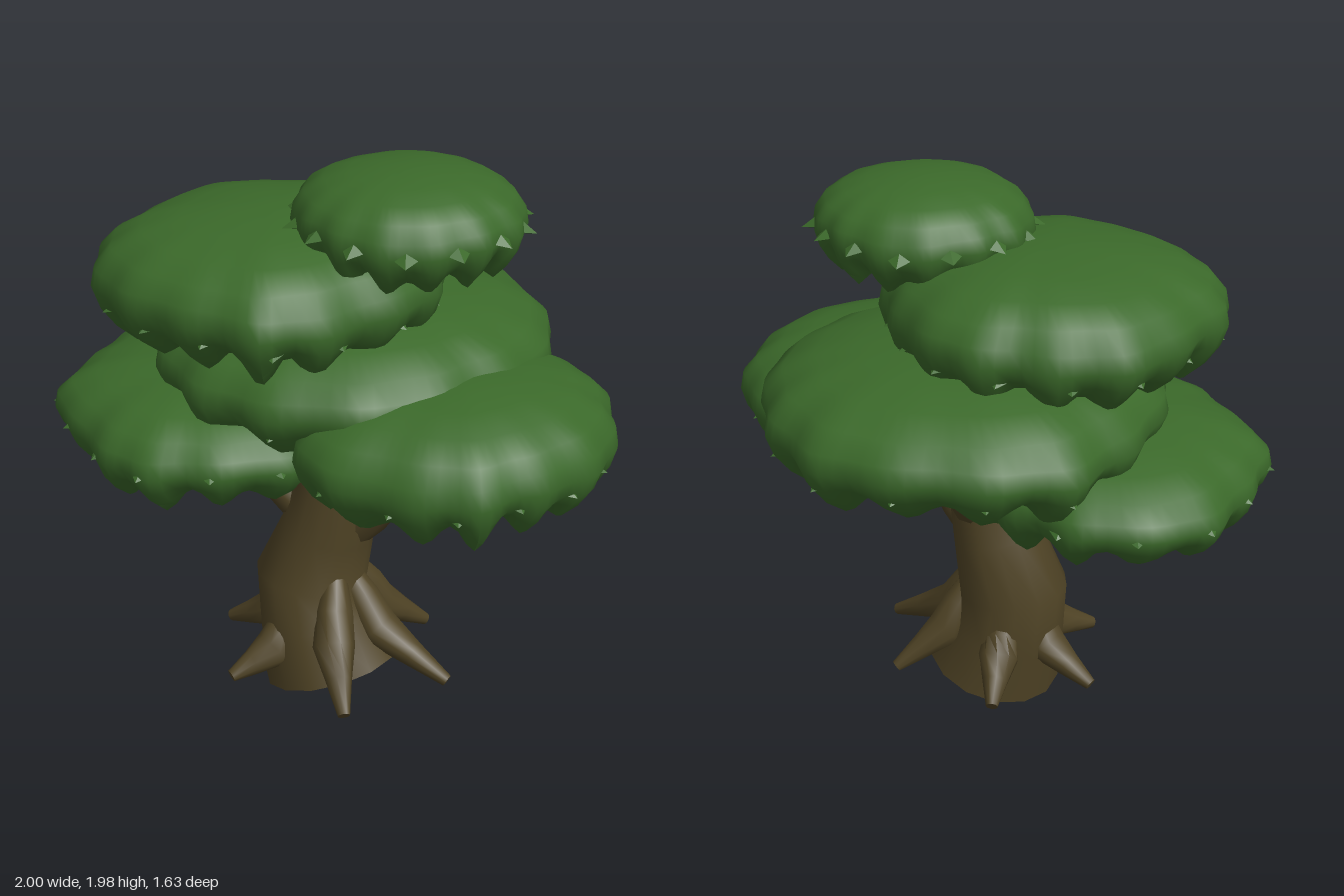
import * as THREE from 'three';
import { toCreasedNormals } from 'three/addons/utils/BufferGeometryUtils.js';

// Builds a surface from closed loops of points; loops run from top to bottom.
function loft(rows) {
  const n = rows[0].length, pos = [], idx = [];
  rows.forEach((row) => row.forEach((p) => pos.push(p.x, p.y, p.z)));
  for (let j = 0; j < rows.length - 1; j++) {
    for (let i = 0; i < n; i++) {
      const a = j * n + i, b = j * n + (i + 1) % n;
      idx.push(a, b, a + n, b, b + n, a + n);
    }
  }
  const g = new THREE.BufferGeometry();
  g.setAttribute('position', new THREE.Float32BufferAttribute(pos, 3));
  g.setIndex(idx);
  return toCreasedNormals(g, 0.9);
}

// Tapered limb through stations [x, y, z, radius], closed at both ends.
function limb(stations, sides) {
  const pts = stations.map((s) => new THREE.Vector3(s[0], s[1], s[2]));
  const up = new THREE.Vector3(0, 1, 0);
  const rows = pts.map((p, k) => {
    const dir = pts[Math.min(k + 1, pts.length - 1)].clone().sub(pts[Math.max(k - 1, 0)]).normalize();
    const q = new THREE.Quaternion().setFromUnitVectors(up, dir);
    return Array.from({ length: sides }, (_, i) => {
      const a = (i / sides) * Math.PI * 2, r = stations[k][3];
      return new THREE.Vector3(r * Math.cos(a), 0, r * Math.sin(a)).applyQuaternion(q).add(p);
    });
  });
  const cap = (p) => Array.from({ length: sides }, () => p.clone());
  return loft([cap(pts[0]), ...rows, cap(pts[pts.length - 1])].reverse());
}

// Half profile of a foliage pad: [radius, height, ruffle strength, hem droop]
const PAD = [
  [0, 1, 0, 0], [0.25, 0.985, 0.1, 0], [0.5, 0.94, 0.2, 0], [0.72, 0.86, 0.4, 0],
  [0.88, 0.74, 0.7, 0], [0.97, 0.6, 0.9, 0], [0.99, 0.46, 1, 0.01], [0.95, 0.32, 1.2, 0.03],
  [0.87, 0.2, 1.4, 0.07], [0.76, 0.09, 1.5, 0.1], [0.6, 0.14, 1, 0.06], [0.32, 0.19, 0.4, 0.02],
  [0, 0.22, 0, 0],
];

// Smooth closed plan outline from radii at equal angles, starting at +x toward +z
function planCurve(radii) {
  return new THREE.CatmullRomCurve3(radii.map((r, i) => {
    const a = (i / radii.length) * Math.PI * 2;
    return new THREE.Vector3(r * Math.cos(a), 0, r * Math.sin(a));
  }), true);
}

function padPoint(pad, curve, row, t) {
  const [r, h, w, droop] = PAD[row];
  const { height, lobes, seed } = pad;
  const a = t * Math.PI * 2;
  // Lobes of uneven size
  const wave = Math.cos(lobes * a + seed) * (0.8 + 0.3 * Math.sin(4 * a + 2 * seed));
  const lift = h - droop * wave + (w < 0.9 ? 0 : 0.02 * Math.sin(4 * a + seed));
  const p = curve.getPoint(t % 1).multiplyScalar(r * (1 + 0.02 * w * wave));
  return p.setY(height * lift);
}

export function createModel() {
  const bark = new THREE.MeshStandardMaterial({ color: 0x4f4325 });
  bark.name = 'bark';
  const foliage = new THREE.MeshStandardMaterial({ color: 0x3b692a });
  foliage.name = 'foliage';

  const model = new THREE.Group();
  model.name = 'tree';
  const add = (parent, name, geo, mat) => {
    const m = new THREE.Mesh(geo, mat);
    m.name = name;
    parent.add(m);
    return m;
  };

  // Leaning trunk with a slanted foot
  add(model, 'trunk', limb([
    [0.015, 0.08, 0.17, 0.255], [-0.045, 0.26, 0.165, 0.218], [-0.08, 0.43, 0.155, 0.2],
    [-0.015, 0.63, 0.145, 0.165], [0.02, 0.8, 0.14, 0.15], [0.035, 0.95, 0.135, 0.135],
    [0.03, 1.06, 0.13, 0.09],
  ], 14), bark);

  // Branches reaching into the foliage
  const branches = {
    leftBranch: [[0.05, 0.62, 0.14, 0.08], [0.14, 0.72, 0.14, 0.085], [0.28, 0.87, 0.13, 0.06], [0.42, 1.02, 0.13, 0.03]],
    rightBranch: [[-0.02, 0.66, 0.15, 0.08], [-0.14, 0.72, 0.16, 0.08], [-0.25, 0.8, 0.18, 0.058], [-0.42, 0.98, 0.22, 0.025]],
    backBranch: [[0.02, 0.68, 0.13, 0.08], [0.02, 0.8, 0.04, 0.085], [0.03, 0.93, -0.06, 0.065], [0.04, 1.03, -0.12, 0.04]],
  };
  for (const [name, path] of Object.entries(branches)) add(model, name, limb(path, 10), bark);

  // Six roots: top sunk into the trunk, knee, tip
  const roots = [
    [[0.05, 0.48, 0.15], [0.19, 0.26, 0.15], [0.47, 0.12, 0.15]],
    [[-0.15, 0.38, 0.16], [-0.23, 0.22, 0.16], [-0.43, 0.12, 0.16]],
    [[0.06, 0.48, 0.23], [0.12, 0.27, 0.35], [0.25, 0.12, 0.51]],
    [[-0.08, 0.34, 0.24], [-0.12, 0.19, 0.36], [-0.21, 0.13, 0.51]],
    [[0.04, 0.46, 0.08], [0.1, 0.26, -0.01], [0.22, 0.12, -0.17]],
    [[-0.12, 0.38, 0.06], [-0.14, 0.22, -0.02], [-0.22, 0.12, -0.17]],
  ];
  roots.forEach(([top, knee, tip], i) => {
    const blend = (p, q) => p.map((v, k) => (v + q[k]) / 2);
    add(model, 'root' + (i + 1), limb([
      [...top, 0.04], [...blend(top, knee), 0.066],
      [...knee, 0.075], [...blend(knee, tip), 0.047], [...tip, 0.022],
    ], 10), bark);
  });

  // Foliage pads: base centre, plan radii, thickness, lobes and leaf ring
  const pads = [
    { name: 'topPad', at: [0.24, 1.65, 0.055], height: 0.33, lobes: 14, seed: 0.4, leafRow: 6, out: 0.012,
      radii: [0.39, 0.38, 0.385, 0.385, 0.375, 0.385, 0.395, 0.38, 0.39, 0.38, 0.375, 0.385] },
    { name: 'upperPad', at: [-0.21, 1.365, 0.15], height: 0.435, lobes: 15, seed: 1.7, leafRow: 7, out: -0.015,
      radii: [0.59, 0.56, 0.61, 0.575, 0.6, 0.62, 0.58, 0.6, 0.56, 0.59, 0.55, 0.57] },
    { name: 'backPad', at: [-0.03, 1.06, -0.08], height: 0.44, lobes: 15, seed: 3.25, leafRow: 7, out: -0.02,
      radii: [0.69, 0.69, 0.72, 0.73, 0.72, 0.7, 0.69, 0.74, 0.71, 0.73, 0.7, 0.69] },
    { name: 'lowerRightPad', at: [-0.41, 0.865, 0.23], height: 0.375, lobes: 15, seed: 4.1, leafRow: 6, out: -0.015,
      radii: [0.58, 0.57, 0.56, 0.57, 0.52, 0.57, 0.565, 0.65, 0.65, 0.57, 0.56, 0.57] },
    { name: 'lowerLeftPad', at: [0.49, 0.92, 0.16], height: 0.43, lobes: 14, seed: 5.3, leafRow: 7, out: -0.015,
      radii: [0.505, 0.48, 0.52, 0.52, 0.59, 0.53, 0.5, 0.54, 0.58, 0.57, 0.56, 0.525] },
  ];
  const segments = 90;
  for (const pad of pads) {
    const group = new THREE.Group();
    group.name = pad.name;
    group.position.set(...pad.at);
    model.add(group);
    const curve = planCurve(pad.radii);
    const rows = PAD.map((_, j) => Array.from({ length: segments },
      (_, i) => padPoint(pad, curve, j, i / segments)));
    add(group, 'canopy', loft(rows), foliage);

    // Small pointed leaves poking out in a ring
    for (let k = 0; k < pad.lobes; k++) {
      const t = (k + 0.5) / pad.lobes, a = t * Math.PI * 2;
      const leaf = add(group, 'leaf', toCreasedNormals(new THREE.ConeGeometry(0.055, 0.065, 4), 0.3), foliage);
      const out = new THREE.Vector3(Math.cos(a), -0.3, Math.sin(a)).normalize();
      leaf.position.copy(padPoint(pad, curve, pad.leafRow, t)).addScaledVector(out, pad.out);
      // Point the cone outward, keeping its thin axis upright
      const side = new THREE.Vector3(-Math.sin(a), 0, Math.cos(a));
      leaf.quaternion.setFromRotationMatrix(
        new THREE.Matrix4().makeBasis(side, out, side.clone().cross(out)));
      leaf.scale.set(1, 1, 0.45);
    }
  }
  return model;
}
